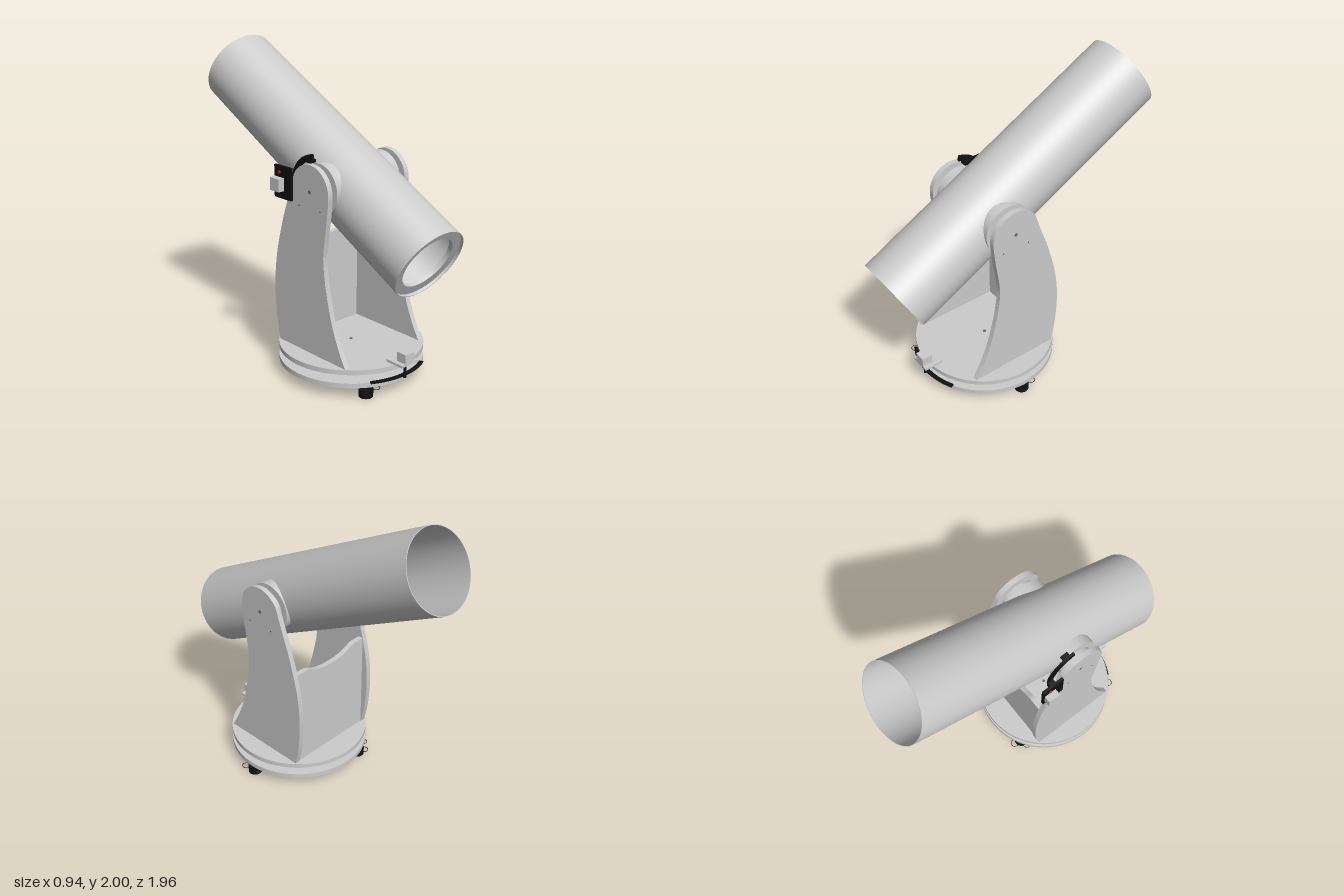
import * as THREE from 'three';
import { toCreasedNormals } from 'three/addons/utils/BufferGeometryUtils.js';

const mat = (color) => new THREE.MeshStandardMaterial({ color });
const grey = mat(0xcccccc), black = mat(0x111111), red = mat(0xdd1111), dark = mat(0x666666);
grey.side = THREE.DoubleSide;

const PIVOT_Y = 1.21, TUBE_R = 0.248, TILT = -1.0814;

function add(parent, name, geometry, material, x = 0, y = 0, z = 0) {
  const mesh = new THREE.Mesh(geometry, material);
  mesh.name = name;
  mesh.position.set(x, y, z);
  parent.add(mesh);
  return mesh;
}

const disc = (r, h, n = 64) => new THREE.CylinderGeometry(r, r, h, n);
// cylinder lying along x
const axle = (r, w, n = 48) => disc(r, w, n).rotateZ(Math.PI / 2);
const extrude = (shape, depth) =>
  toCreasedNormals(new THREE.ExtrudeGeometry(shape, { depth, bevelEnabled: false, curveSegments: 32 }), 0.5);
// shape drawn in (z, y), extruded from x0 to x1
const extrudeX = (shape, x0, x1) => extrude(shape, x1 - x0).rotateY(-Math.PI / 2).translate(x1, 0, 0);

function arcShape(r0, r1, a0, a1) {
  const s = new THREE.Shape();
  s.absarc(0, 0, r1, a0, a1, false);
  s.absarc(0, 0, r0, a1, a0, true);
  s.closePath();
  return s;
}

// curved side board, rounded around the pivot
function sideShape() {
  const s = new THREE.Shape();
  s.moveTo(-0.29, 0.19);
  s.lineTo(0.31, 0.19);
  s.splineThru([[0.25, 0.3], [0.19, 0.45], [0.14, 0.65], [0.12, 0.8], [0.125, 0.9], [0.15, 1.07], [0.163, 1.19]]
    .map(p => new THREE.Vector2(...p)));
  s.absarc(0, PIVOT_Y, 0.163, 0, Math.PI * 0.83, false);
  s.splineThru([[-0.19, 1.15], [-0.25, 0.98], [-0.31, 0.75], [-0.33, 0.55], [-0.32, 0.35], [-0.29, 0.19]]
    .map(p => new THREE.Vector2(...p)));
  return s;
}

// bearing wall whose inner edge follows the tube surface
function saddleGeometry(side) {
  const g = new THREE.CylinderGeometry(0.16, 0.16, 1, 64, 1, true).rotateZ(-side * Math.PI / 2);
  const p = g.attributes.position;
  for (let i = 0; i < p.count; i++) {
    const across = -p.getY(i) * Math.sin(TILT) + p.getZ(i) * Math.cos(TILT);
    const inner = Math.sqrt(0.246 ** 2 - across ** 2);
    p.setX(i, side * (p.getX(i) * side > 0 ? 0.257 : inner));
  }
  return g;
}

function buildBase(root) {
  const base = new THREE.Group();
  base.name = 'base';
  base.position.set(-0.023, 0, 0.22);
  root.add(base);
  add(base, 'groundBoard', disc(0.453, 0.03, 96), grey, 0, 0.09);
  add(base, 'turningBoard', disc(0.453, 0.03, 96), grey, 0, 0.175);
  add(base, 'turntableBearing', disc(0.152, 0.055), black, 0, 0.1325);
  add(base, 'centreBolt', disc(0.01, 0.12, 16), dark, 0, 0.133);

  // three feet with wire loops
  for (let i = 0; i < 3; i++) {
    const a = i * Math.PI * 2 / 3;
    const foot = new THREE.Group();
    foot.name = 'foot';
    foot.position.set(0.41 * Math.cos(a), 0, 0.41 * Math.sin(a));
    foot.rotation.y = -a;
    base.add(foot);
    add(foot, 'footPad', disc(0.044, 0.055, 24), black, 0, 0.0275);
    add(foot, 'footStem', disc(0.025, 0.03, 16), black, 0, 0.065);
    for (let k = 0; k < 4; k++) {
      const b = 0.46 + k * Math.PI / 2;
      const loop = new THREE.TorusGeometry(0.025, 0.002, 6, 24).rotateX(Math.PI / 2);
      add(foot, 'footLoop', loop, black, 0.06 * Math.cos(b), 0.061, 0.06 * Math.sin(b));
    }
  }

  // turning sensor at the front rim
  const strip = extrude(arcShape(0.445, 0.472, Math.PI / 2 - 0.49, Math.PI / 2 + 0.49), 0.008).rotateX(Math.PI / 2);
  add(base, 'scaleStrip', strip, black, 0, 0.113);
  add(base, 'sensorFlange', new THREE.BoxGeometry(0.135, 0.015, 0.13), grey, 0.005, 0.1975, 0.445);
  add(base, 'sensorBox', new THREE.BoxGeometry(0.075, 0.06, 0.07), grey, 0.005, 0.235, 0.475);
  add(base, 'sensorPin', disc(0.01, 0.095, 16), black, 0.003, 0.145, 0.473);
}

function buildRocker(mount) {
  const side = sideShape();
  for (const s of [1, -1]) {
    add(mount, 'sideBoard', s > 0 ? extrudeX(side, 0.295, 0.329) : extrudeX(side, -0.329, -0.295), grey);
    add(mount, 'saddle', saddleGeometry(s), grey, 0, PIVOT_Y);
    add(mount, 'saddleCap', axle(0.16, 0.015, 64), grey, s * 0.2495, PIVOT_Y);
    add(mount, 'bearingDisc', axle(0.113, 0.037), grey, s * 0.2755, PIVOT_Y);
    add(mount, 'pivotBolt', axle(0.011, 0.004, 16), dark, s * 0.329, PIVOT_Y);
    for (const z of [-0.092, 0.092]) {
      add(mount, 'roller', axle(0.021, 0.02, 20), red, s * 0.282, PIVOT_Y - 0.1, z);
      add(mount, 'rollerBolt', axle(0.005, 0.004, 12), dark, s * 0.329, PIVOT_Y - 0.1, z);
    }
  }
  // rear board with a shallow scoop
  const b = new THREE.Shape();
  b.moveTo(-0.295, 0.19);
  b.lineTo(0.295, 0.19);
  b.lineTo(0.295, 0.86);
  b.lineTo(0.23, 0.86);
  b.bezierCurveTo(0.17, 0.86, 0.16, 0.81, 0, 0.81);
  b.bezierCurveTo(-0.16, 0.81, -0.17, 0.86, -0.23, 0.86);
  b.lineTo(-0.295, 0.86);
  b.closePath();
  add(mount, 'rearBoard', extrude(b, 0.033), grey, 0, 0, -0.285);
}

function buildTube(mount) {
  const profile = [[0.248, -0.978], [0.248, 0.978], [0.244, 0.978], [0.244, -0.93], [0.182, -0.93],
    [0.182, -0.96], [0.244, -0.96], [0.244, -0.978], [TUBE_R, -0.978]].map(p => new THREE.Vector2(...p));
  const tube = add(mount, 'opticalTube', toCreasedNormals(new THREE.LatheGeometry(profile, 96), 0.5), grey, 0, 1.32, -0.209);
  tube.rotation.x = TILT;
}

// tilt sensor on the model's right side
function buildTiltSensor(mount) {
  const g = new THREE.Group();
  g.name = 'tiltSensor';
  g.position.y = PIVOT_Y;
  mount.add(g);
  const arc = arcShape(0.18, 0.215, Math.PI * 0.54, Math.PI * 1.46);
  add(g, 'tiltScale', extrudeX(arc, -0.287, -0.272), black);
  add(g, 'scaleTab', new THREE.BoxGeometry(0.045, 0.02, 0.05), black, -0.262, 0.165, -0.07);
  add(g, 'sensorPlate', new THREE.BoxGeometry(0.018, 0.2, 0.15), black, -0.338, 0.015, -0.225);
  add(g, 'sensorBracket', new THREE.BoxGeometry(0.06, 0.06, 0.04), black, -0.31, 0, -0.2);
  add(g, 'sensorBlock', new THREE.BoxGeometry(0.045, 0.08, 0.08), grey, -0.368, 0.005, -0.25);
  add(g, 'sensorLamp', axle(0.01, 0.01, 16), red, -0.35, 0.075, -0.25);
}

export function createModel() {
  const root = new THREE.Group();
  root.name = 'telescope';
  buildBase(root);
  const mount = new THREE.Group();
  mount.name = 'mount';
  mount.position.set(-0.024, 0, 0.21);
  mount.rotation.y = 0.01;
  root.add(mount);
  buildRocker(mount);
  buildTube(mount);
  buildTiltSensor(mount);
  return root;
}
